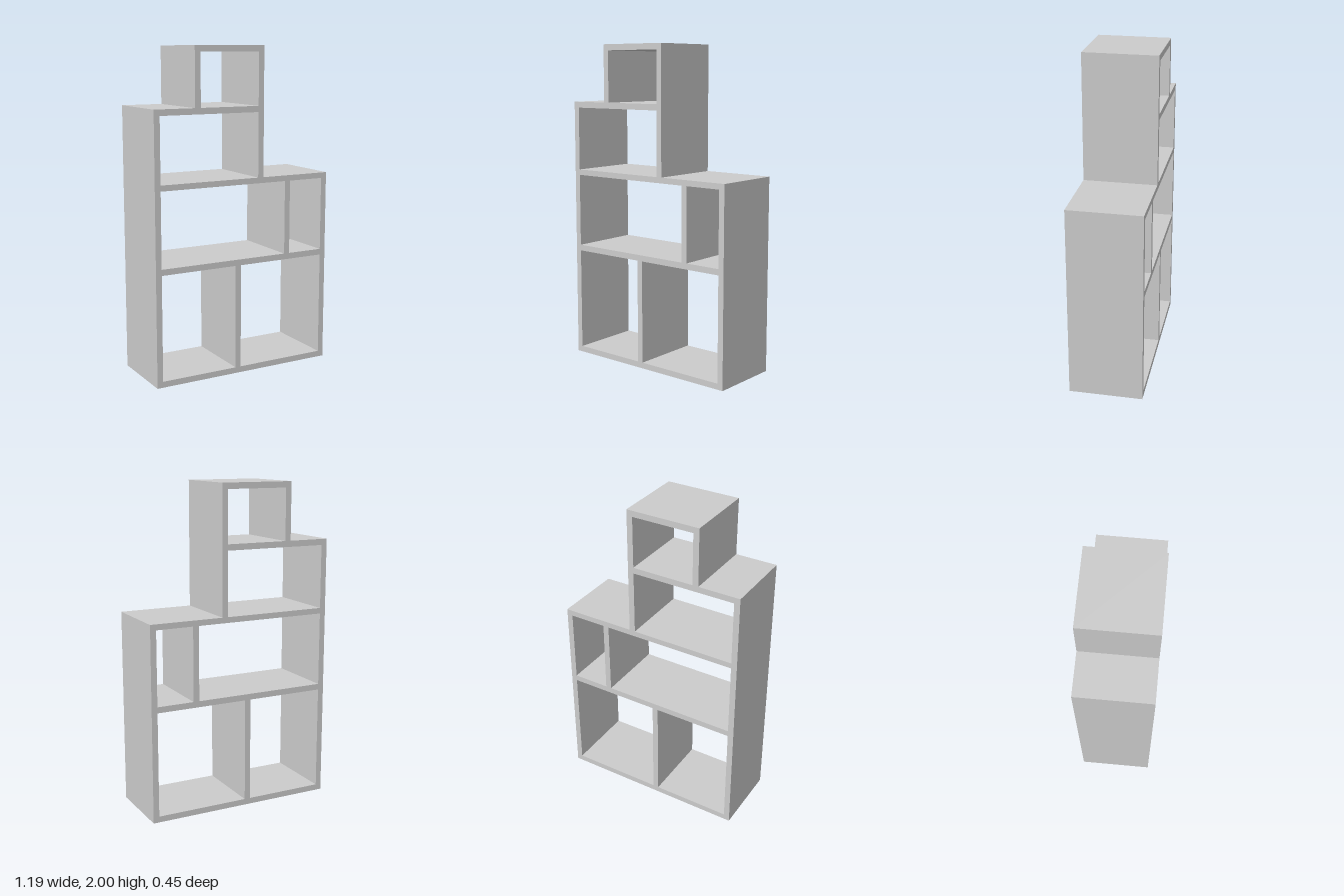
import * as THREE from 'three';

const HALF_W = 0.594, DEPTH = 0.454, T = 0.037; // half width, depth, board thickness

// Compartments as [left, right, bottom, top]
const inner = HALF_W - T;
const compartments = [
  [-inner, -0.063, T, 0.683],        // bottom left
  [-0.063 + T, inner, T, 0.683],     // bottom right
  [-inner, 0.286, 0.72, 1.178],      // middle left
  [0.286 + T, inner, 0.72, 1.178],   // middle right
  [-inner, 0.13 - T, 1.213, 1.608],  // upper
  [-0.333 + T, 0.13 - T, 1.645, 2 - T], // top
];

const points = (list) => list.map(([x, y]) => new THREE.Vector2(x, y));

export function createModel() {
  const group = new THREE.Group();
  group.name = 'steppedBookcase';

  // Stepped outline, narrowing towards the top
  const outline = new THREE.Shape(points([
    [-HALF_W, 0], [HALF_W, 0], [HALF_W, 1.213], [0.13, 1.213],
    [0.13, 2], [-0.333, 2], [-0.333, 1.645], [-HALF_W, 1.645],
  ]));

  // Open compartments running right through the depth
  for (const [l, r, b, t] of compartments) {
    outline.holes.push(new THREE.Path(points([[l, b], [l, t], [r, t], [r, b]])));
  }

  const geometry = new THREE.ExtrudeGeometry(outline, { depth: DEPTH, bevelEnabled: false });
  geometry.translate(0, 0, -DEPTH / 2);

  const frame = new THREE.Mesh(geometry, new THREE.MeshStandardMaterial({ color: 0xcccccc }));
  frame.name = 'shelfFrame';
  group.add(frame);
  return group;
}
